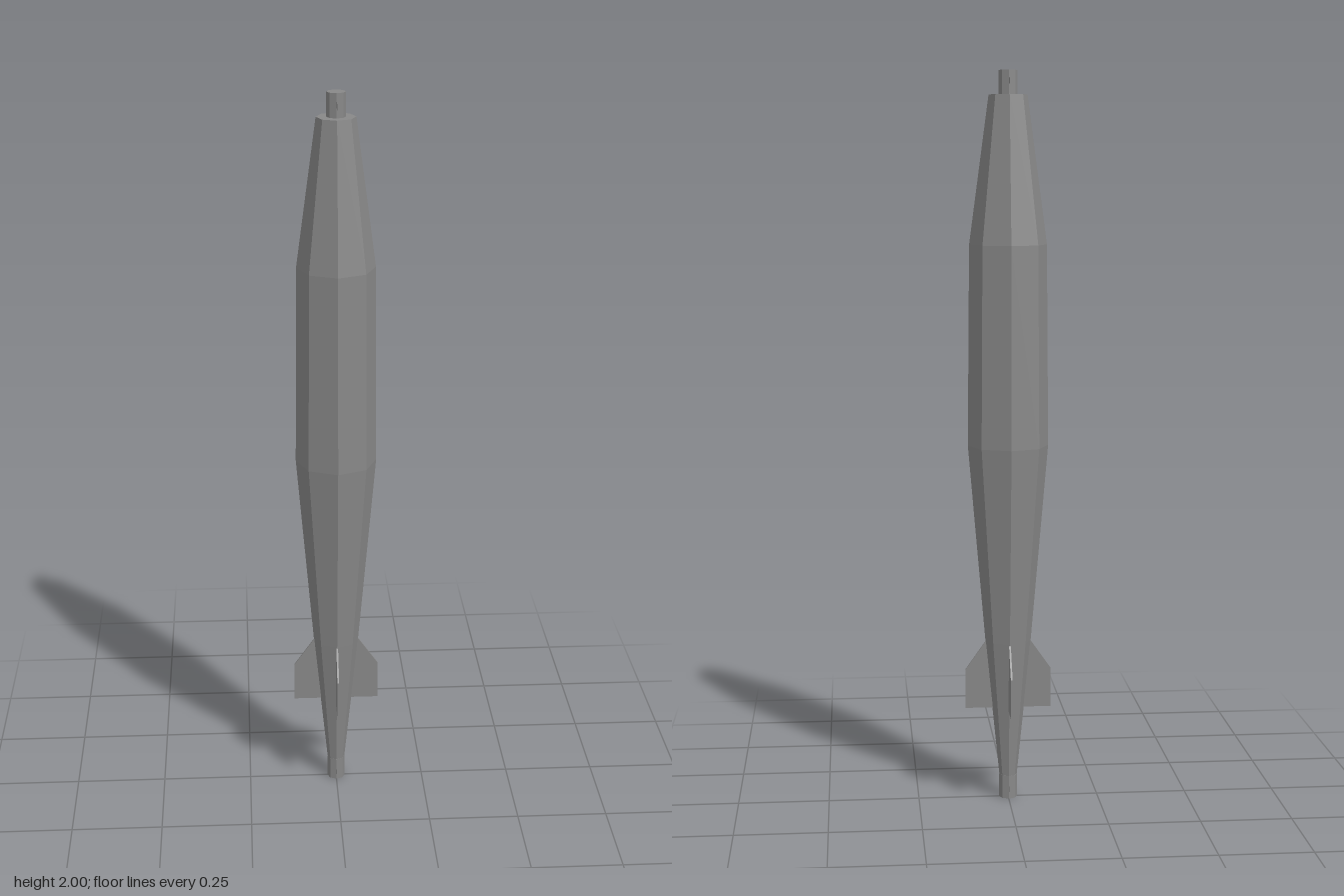
import * as THREE from 'three';

const material = new THREE.MeshStandardMaterial({ color: 0x888888, flatShading: true });
const thin = new THREE.MeshStandardMaterial({ color: 0x888888, flatShading: true, side: THREE.DoubleSide });

// Eight-sided turned part from [radius, y] pairs, bottom to top
function turned(name, profile) {
  const points = profile.map(([r, y]) => new THREE.Vector2(r, y));
  const mesh = new THREE.Mesh(new THREE.LatheGeometry(points, 8), material);
  mesh.name = name;
  return mesh;
}

// Paper-thin vane standing in the x = 0 plane
function vane(name, length, y) {
  const mesh = new THREE.Mesh(new THREE.PlaneGeometry(length, 0.016), thin);
  mesh.name = name;
  mesh.rotation.y = Math.PI / 2;
  mesh.position.y = y;
  return mesh;
}

export function createModel() {
  const group = new THREE.Group();
  group.name = 'finnedBomb';

  // Faceted casing, with the nose and tail fuzes
  group.add(turned('casing', [
    [0, 0.05], [0.023, 0.05], [0.063, 0.45], [0.11, 0.995], [0.105, 1.54], [0.052, 1.936], [0, 1.936],
  ]));
  group.add(turned('noseFuze', [[0, 1.93], [0.025, 1.93], [0.025, 2], [0, 2]]));
  group.add(turned('tailFuze', [[0, 0], [0.025, 0], [0.025, 0.065], [0, 0.065]]));

  // Arming vanes on both fuzes
  group.add(vane('noseVane', 0.134, 1.971));
  group.add(vane('tailVane', 0.08, 0.032));

  // Four tail fins
  const outline = new THREE.Shape([
    [0.03, 0.258], [0.119, 0.258], [0.119, 0.367], [0.062, 0.448], [0.03, 0.448],
  ].map(([x, y]) => new THREE.Vector2(x, y)));
  const finGeometry = new THREE.ExtrudeGeometry(outline, { depth: 0.005, bevelEnabled: false });
  finGeometry.translate(0, 0, -0.0025);
  for (let i = 0; i < 4; i++) {
    const fin = new THREE.Mesh(finGeometry, material);
    fin.name = `tailFin${i + 1}`;
    fin.rotation.y = i * Math.PI / 2;
    group.add(fin);
  }
  return group;
}
